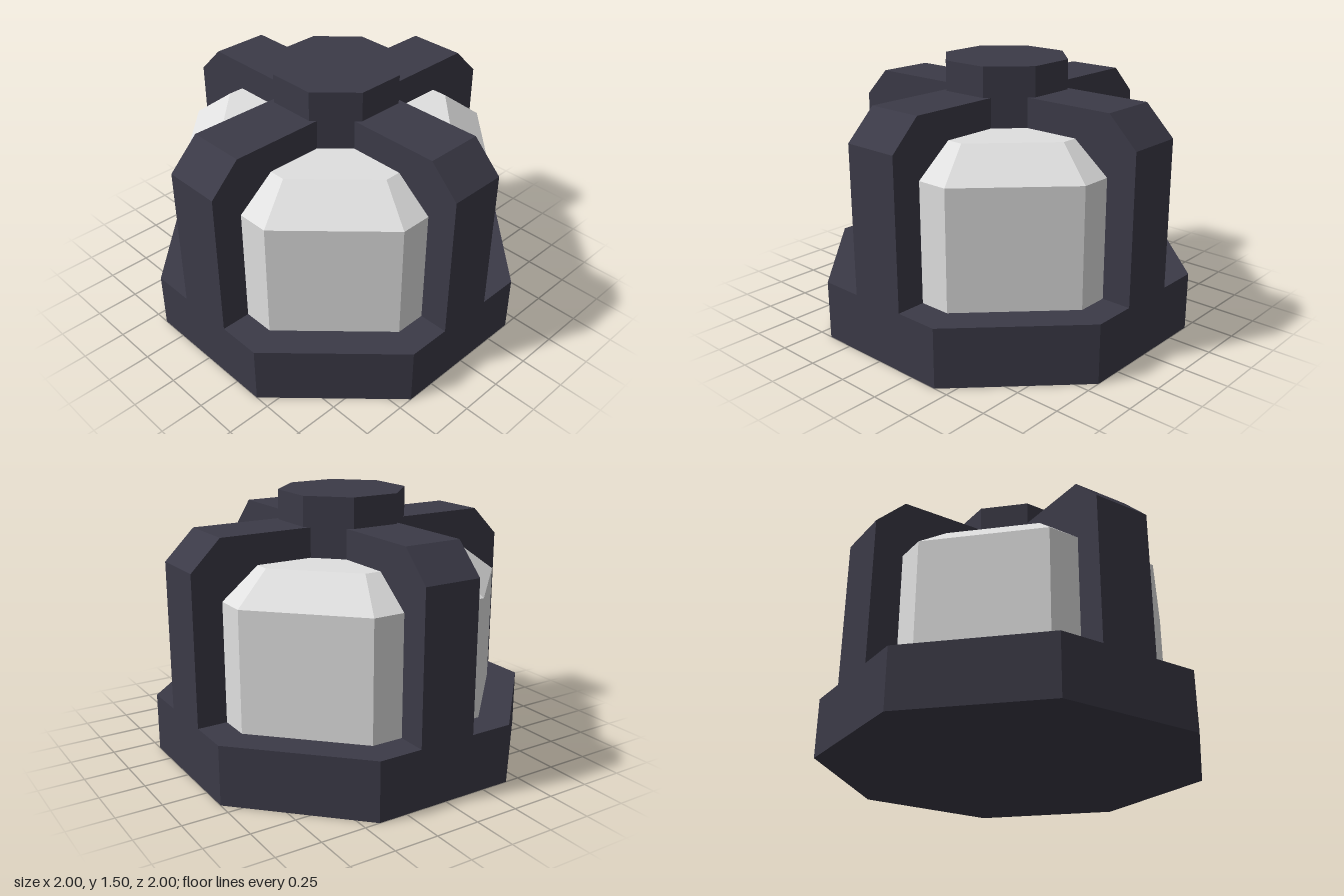
import * as THREE from 'three';

const darkMetal = new THREE.MeshStandardMaterial({ name: 'dark metal', color: 0x3b3a47, flatShading: true });
const paleGlass = new THREE.MeshStandardMaterial({ name: 'pale glass', color: 0xe0e0e0, flatShading: true });

// Octagonal frustum with a flat side facing each axis; sizes are centre-to-side
function octagon(name, top, bottom, y0, y1, material, open = false) {
  const k = 1 / Math.cos(Math.PI / 8);
  const geometry = new THREE.CylinderGeometry(top * k, bottom * k, y1 - y0, 8, 1, open, Math.PI / 8);
  const mesh = new THREE.Mesh(geometry, material);
  mesh.name = name;
  mesh.position.y = (y0 + y1) / 2;
  return mesh;
}

export function createModel() {
  const model = new THREE.Group();
  model.name = 'cagedLamp';

  model.add(octagon('base', 1, 1, 0, 0.333, darkMetal));

  // Lens: straight wall with a bevelled top
  const lens = new THREE.Group();
  lens.name = 'lens';
  lens.add(octagon('lensWall', 0.833, 0.833, 0.333, 1, paleGlass, true));
  lens.add(octagon('lensTop', 0.625, 0.833, 1, 1.167, paleGlass));
  model.add(lens);

  model.add(octagon('cap', 0.333, 0.333, 1.16, 1.5, darkMetal));

  // Four cage arms: upright post, chamfered shoulder and beam to the cap
  const profile = new THREE.Shape([
    [0.16, 1.1], [0.6, 1.1], [0.6, 0.333], [1, 0.333],
    [1, 1.167], [0.833, 1.333], [0.16, 1.333],
  ].map(([x, y]) => new THREE.Vector2(x, y)));
  const armGeometry = new THREE.ExtrudeGeometry(profile, { depth: 0.333, bevelEnabled: false });
  armGeometry.translate(0, 0, -0.1665);
  for (let i = 0; i < 4; i++) {
    const arm = new THREE.Mesh(armGeometry, darkMetal);
    arm.name = 'cageArm' + (i + 1);
    arm.rotation.y = i * Math.PI / 2;
    model.add(arm);
  }
  return model;
}
